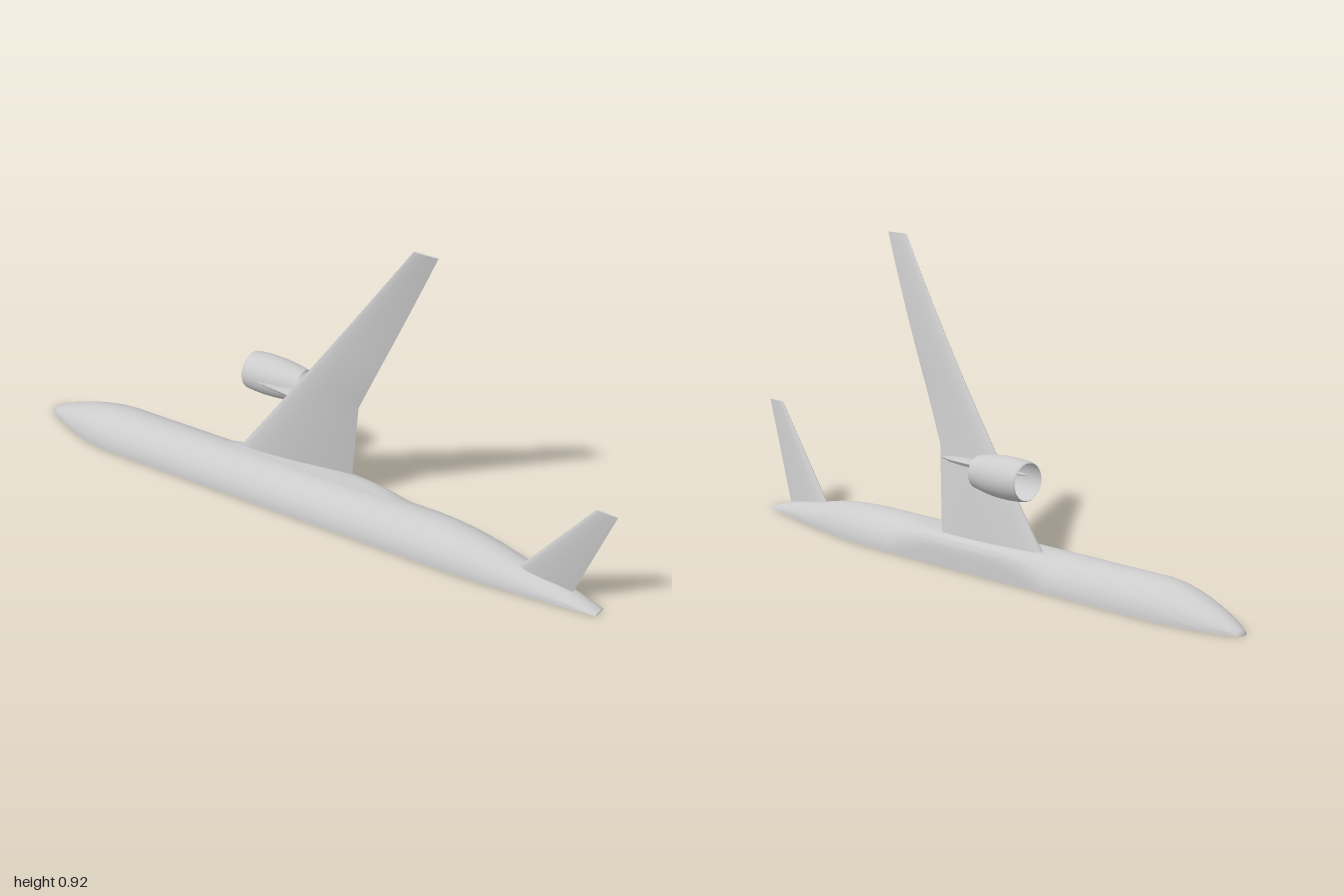
import * as THREE from 'three';
import { toCreasedNormals } from 'three/addons/utils/BufferGeometryUtils.js';

const grey = new THREE.MeshStandardMaterial({ color: 0xcccccc });
const greyDouble = new THREE.MeshStandardMaterial({ color: 0xcccccc, side: THREE.DoubleSide });
const { lerp, smoothstep } = THREE.MathUtils;

// Skin a list of closed loops of [x, y, z] points and cap both ends
function loft(name, loops, crease = 0.9) {
  const n = loops[0].length, last = loops.length - 1;
  const pos = loops.flat(2), idx = [];
  for (let s = 0; s < last; s++) {
    for (let i = 0; i < n; i++) {
      const a = s * n + i, b = s * n + (i + 1) % n;
      idx.push(a, a + n, b, a + n, b + n, b);
    }
  }
  for (const s of [0, last]) {
    const c = pos.length / 3;
    for (let k = 0; k < 3; k++) pos.push(loops[s].reduce((t, p) => t + p[k], 0) / n);
    for (let i = 0; i < n; i++) {
      const a = s * n + i, b = s * n + (i + 1) % n;
      idx.push(c, ...(s ? [b, a] : [a, b]));
    }
  }
  const geo = new THREE.BufferGeometry();
  geo.setAttribute('position', new THREE.Float32BufferAttribute(pos, 3));
  geo.setIndex(idx);
  const mesh = new THREE.Mesh(toCreasedNormals(geo, crease), grey);
  mesh.name = name;
  return mesh;
}

// Airfoil loop at span y: trailing edge -> top -> leading edge -> underside
function airfoil([y, le, te, zLe, zTe, thick]) {
  const loop = [], N = 18;
  for (let i = 0; i < 2 * N; i++) {
    const c = (1 + Math.cos(Math.PI * i / N)) / 2;
    const half = 5 * thick * (0.2969 * Math.sqrt(c) - 0.126 * c - 0.3516 * c * c + 0.2843 * c ** 3 - 0.1036 * c ** 4);
    loop.push([lerp(le, te, c), y, lerp(zLe, zTe, c) + (i < N ? half : -half)]);
  }
  return loop;
}

// Half fuselage: [x, lowest z, highest z, half width], cut flat on y = 0
const hull = [
  [-1, 0.01, 0.022, 0.004], [-0.99, -0.003, 0.036, 0.012], [-0.97, -0.012, 0.049, 0.023],
  [-0.95, -0.02, 0.06, 0.033], [-0.92, -0.03, 0.075, 0.046], [-0.88, -0.039, 0.092, 0.06],
  [-0.84, -0.046, 0.106, 0.073], [-0.8, -0.052, 0.118, 0.083], [-0.75, -0.058, 0.129, 0.093],
  [-0.7, -0.06, 0.134, 0.097], [0.38, -0.06, 0.134, 0.097], [0.45, -0.055, 0.134, 0.095],
  [0.52, -0.045, 0.133, 0.09], [0.6, -0.03, 0.13, 0.08], [0.7, -0.007, 0.121, 0.059],
  [0.8, 0.016, 0.111, 0.043], [0.87, 0.032, 0.103, 0.028], [0.945, 0.05, 0.094, 0.004],
];
function fuselageLoop([x, lo, hi, h]) {
  const loop = [], N = 32;
  for (let i = 0; i <= N; i++) {
    const a = Math.PI * i / N;
    loop.push([x, h * Math.sin(a), (lo + hi) / 2 + (hi - lo) / 2 * Math.cos(a)]);
  }
  return loop;
}

// Belly fairing: lower quarter swells from round to square and back
function fairingLoop(x) {
  const swell = smoothstep(x, -0.36, -0.16) * (1 - smoothstep(x, 0.06, 0.3));
  const e = 2 / (2 + 3 * swell), N = 20;
  const loop = [[x, 0, 0.037]];
  for (let i = 0; i <= N; i++) {
    const a = Math.PI / 2 * i / N;
    loop.push([x, 0.0965 * Math.max(0, Math.cos(a)) ** e, 0.037 - (0.0965 + 0.003 * swell) * Math.sin(a) ** e]);
  }
  return loop;
}

// Pylon section: [x, lower z, upper z, half thickness], centred on span y
function pylonLoop([x, lo, hi, t], y) {
  const m = (lo + hi) / 2;
  return [[x, y, hi], [x, y + t, lerp(m, hi, 0.6)], [x, y + t, lerp(m, lo, 0.6)],
    [x, y, lo], [x, y - t, lerp(m, lo, 0.6)], [x, y - t, lerp(m, hi, 0.6)]];
}

export function createModel() {
  const model = new THREE.Group();
  model.name = 'halfAirliner';

  model.add(loft('fuselage', hull.map(fuselageLoop)));
  const stations = Array.from({ length: 34 }, (_, i) => -0.36 + 0.02 * i);
  model.add(loft('bellyFairing', stations.map(fairingLoop)));

  // Swept wing, kinked trailing edge, bending upward towards the tip
  const wing = [];
  for (let i = 0; i <= 24; i++) {
    const y = i < 6 ? lerp(0.05, 0.34, i / 6) : lerp(0.34, 0.92, (i - 6) / 18);
    const le = lerp(-0.29, 0.335, (y - 0.097) / 0.823);
    const te = y < 0.34 ? lerp(0.075, 0.115, (y - 0.1) / 0.24) : lerp(0.115, 0.413, (y - 0.34) / 0.58);
    const rise = 0.076 * Math.max(0, (y - 0.1) / 0.82) ** 1.9;
    const twist = 0.036 * Math.max(0, 1 - (y - 0.08) / 0.42) ** 1.5;
    const thick = (te - le) * lerp(0.105, 0.085, y / 0.92);
    wing.push(airfoil([y, le, te, rise, rise - twist, thick]));
  }
  model.add(loft('wing', wing));

  // Tailplane
  model.add(loft('tailplane', [
    [0.02, 0.66, 0.853, 0.064, 0.064, 0.019],
    [0.335, 0.93, 0.997, 0.1, 0.104, 0.006],
  ].map(airfoil)));

  // Open engine nacelle, lying along x
  const engine = new THREE.Group();
  engine.name = 'engine';
  const profile = new THREE.SplineCurve([
    [0.0525, -0.308], [0.0565, -0.3], [0.0595, -0.265], [0.06, -0.23], [0.057, -0.18], [0.0475, -0.122],
  ].map(([r, x]) => new THREE.Vector2(r, x))).getPoints(24);
  const nacelle = new THREE.Mesh(new THREE.LatheGeometry(profile, 48), greyDouble);
  nacelle.name = 'nacelle';
  nacelle.rotation.z = -Math.PI / 2;
  nacelle.position.set(0, 0.308, -0.075);
  engine.add(nacelle);

  // Pylon from the nacelle to under the wing
  engine.add(loft('pylon', [
    [-0.25, -0.019, -0.015, 0.001], [-0.2, -0.024, -0.008, 0.007], [-0.13, -0.036, 0.001, 0.011],
    [-0.06, -0.036, 0.002, 0.011], [0.0, -0.034, 0, 0.01], [0.05, -0.03, -0.006, 0.007], [0.1, -0.015, -0.012, 0.001],
  ].map((s) => pylonLoop(s, 0.308))));
  model.add(engine);

  return model;
}
